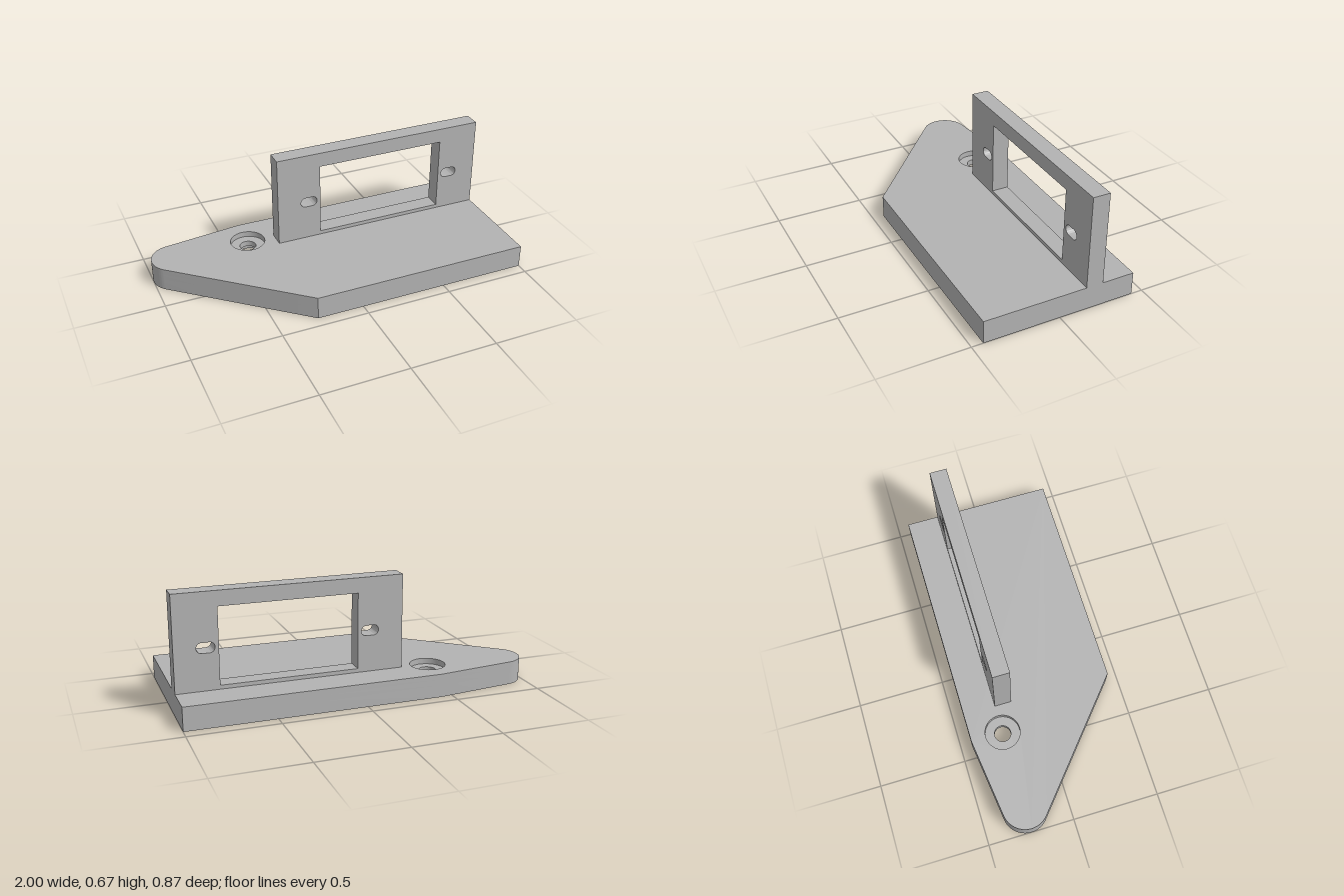
import * as THREE from 'three';
import { toCreasedNormals } from 'three/addons/utils/BufferGeometryUtils.js';

const PIVOT = { x: -0.43, y: 0.25 }; // plan coordinates, y = -z

const circle = (r) => new THREE.Path().absarc(PIVOT.x, PIVOT.y, r, 0, Math.PI * 2, true);

// Base outline in plan: straight rear and right end, rounded tip on the left
function baseOutline() {
  const s = new THREE.Shape();
  s.moveTo(-0.27, -0.435);
  s.lineTo(1, -0.435);
  s.lineTo(1, 0.435);
  s.lineTo(PIVOT.x, 0.435);
  s.absarc(-0.87, 0.25, 0.13, THREE.MathUtils.degToRad(97), THREE.MathUtils.degToRad(229.3), false);
  s.closePath();
  return s;
}

// Two tapered arms with round ends around a round hub
function hornOutline() {
  const hub = 0.125, root = 0.07, tip = 0.055, reach = 0.45;
  const a = Math.asin(root / hub);
  const p = new THREE.Path();
  p.absarc(PIVOT.x, PIVOT.y, hub, a, Math.PI - a, false);
  p.absarc(PIVOT.x - reach, PIVOT.y, tip, Math.PI / 2, Math.PI * 1.5, false);
  p.absarc(PIVOT.x, PIVOT.y, hub, Math.PI + a, Math.PI * 2 - a, false);
  p.absarc(PIVOT.x + reach, PIVOT.y, tip, -Math.PI / 2, Math.PI / 2, false);
  p.closePath();
  return p;
}

// Horizontal screw slot
function slot(x, y, halfLength, r) {
  const p = new THREE.Path();
  p.absarc(x + halfLength - r, y, r, -Math.PI / 2, Math.PI / 2, false);
  p.absarc(x - halfLength + r, y, r, Math.PI / 2, Math.PI * 1.5, false);
  p.closePath();
  return p;
}

function rectangle(PathType, x0, y0, x1, y1) {
  return new PathType([[x0, y0], [x1, y0], [x1, y1], [x0, y1]].map(([x, y]) => new THREE.Vector2(x, y)));
}

const extrude = (shape, depth) =>
  new THREE.ExtrudeGeometry(shape, { depth, bevelEnabled: false, curveSegments: 32 });

export function createModel() {
  const model = new THREE.Group();
  model.name = 'servoBracket';
  const grey = new THREE.MeshStandardMaterial({ color: 0xb3b3b3 });
  grey.name = 'grey';

  const add = (name, geometry) => {
    const mesh = new THREE.Mesh(toCreasedNormals(geometry, 0.5), grey);
    mesh.name = name;
    model.add(mesh);
  };

  // Base plate in three layers: horn recess, pivot hole, screw counterbore
  const layers = [
    ['hornRecessLayer', 0, 0.067, hornOutline()],
    ['pivotHoleLayer', 0.067, 0.1, circle(0.047)],
    ['counterboreLayer', 0.1, 0.133, circle(0.1)],
  ];
  for (const [name, y0, y1, hole] of layers) {
    const shape = baseOutline();
    shape.holes.push(hole);
    add(name, extrude(shape, y1 - y0).rotateX(-Math.PI / 2).translate(0, y0, 0));
  }

  // Upright frame with a window and two screw slots
  const frame = rectangle(THREE.Shape, -0.27, 0.133, 1, 0.668);
  frame.holes.push(rectangle(THREE.Path, -0.01, 0.155, 0.76, 0.583));
  for (const x of [-0.08, 0.83]) frame.holes.push(slot(x, 0.368, 0.05, 0.029));
  add('uprightFrame', extrude(frame, 0.098).translate(0, 0, -0.249));

  return model;
}
